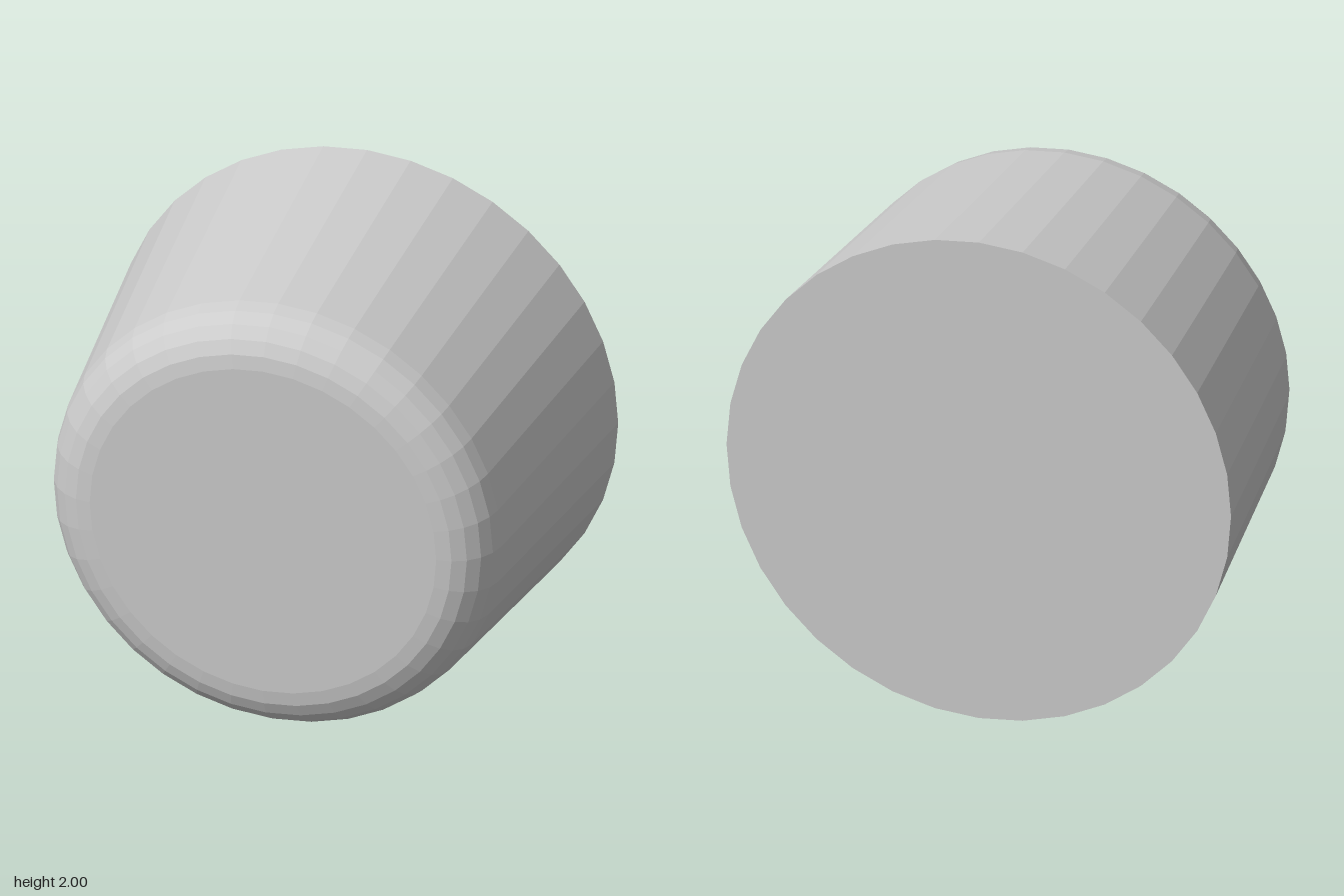
import * as THREE from 'three';

export function createModel() {
  const group = new THREE.Group();
  const half = 0.61, fillet = 0.2, steps = 5;
  const taper = Math.atan(0.11 / 1.04);

  // Profile: flat back, tapered wall, rounded front edge, flat front
  const profile = [new THREE.Vector2(0, -half), new THREE.Vector2(1, -half)];
  for (let i = 0; i <= steps; i++) {
    const a = taper + (Math.PI / 2 - taper) * i / steps;
    profile.push(new THREE.Vector2(
      0.69 + fillet * Math.cos(a),
      half - fillet + fillet * Math.sin(a)
    ));
  }
  profile.push(new THREE.Vector2(0, half));

  // Solid tapered knob with its axis along z
  const geometry = new THREE.LatheGeometry(profile, 36);
  geometry.rotateX(Math.PI / 2);
  const knob = new THREE.Mesh(
    geometry,
    new THREE.MeshStandardMaterial({ color: 0xcccccc, flatShading: true })
  );
  knob.name = 'taperedKnob';
  knob.position.y = 1;
  group.add(knob);
  return group;
}
